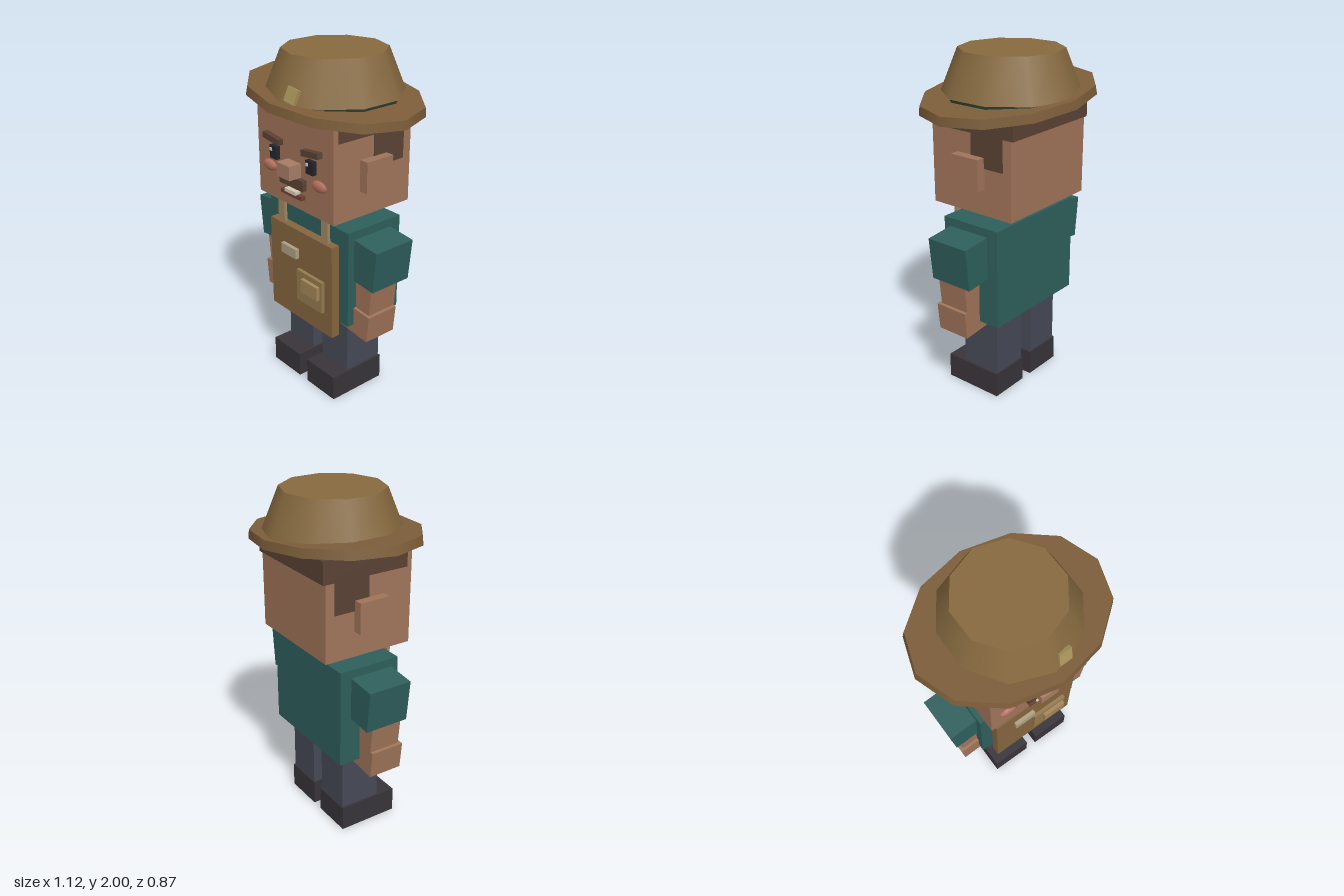
import * as THREE from 'three';

const COLORS = {
  skin: 0xa0745a, nose: 0xa87c66, cheek: 0xb5705f, hair: 0x5a4234, shirt: 0x2e5f5c, trousers: 0x464956,
  shoe: 0x38343a, apron: 0x86653f, strap: 0xa08862, pocket: 0x957a4e, flap: 0xa2875a, label: 0xada083,
  felt: 0x86693f, brim: 0x7d5e3a, band: 0x2a3a30, tag: 0xa8945a, eye: 0x23252c, glint: 0xdddddd,
  lip: 0x6e4036, teeth: 0xd8c8b4,
};
const materials = {};
for (const key in COLORS) materials[key] = new THREE.MeshStandardMaterial({ color: COLORS[key] });

function add(parent, name, geometry, color, x, y, z) {
  const mesh = new THREE.Mesh(geometry, materials[color]);
  mesh.name = name;
  mesh.position.set(x, y, z);
  parent.add(mesh);
  return mesh;
}

// Box given by its limits on each axis
function box(parent, name, color, [x0, x1], [y0, y1], [z0, z1]) {
  return add(parent, name, new THREE.BoxGeometry(x1 - x0, y1 - y0, z1 - z0), color,
    (x0 + x1) / 2, (y0 + y1) / 2, (z0 + z1) / 2);
}

function group(parent, name) {
  const g = new THREE.Group();
  g.name = name;
  parent.add(g);
  return g;
}

export function createModel() {
  const model = new THREE.Group();
  model.name = 'apronFigure';

  // Body
  const body = group(model, 'body');
  box(body, 'torso', 'shirt', [-0.345, 0.345], [0.51, 1.09], [-0.19, 0.19]);
  add(body, 'neck', new THREE.CylinderGeometry(0.12, 0.12, 0.12, 16), 'skin', 0, 1.12, 0);

  // Apron with straps, label and pocket
  const apron = group(model, 'apron');
  box(apron, 'apronPanel', 'apron', [-0.275, 0.275], [0.425, 0.995], [0.195, 0.247]);
  box(apron, 'label', 'label', [-0.15, -0.015], [0.82, 0.88], [0.24, 0.27]);
  box(apron, 'pocket', 'pocket', [-0.012, 0.212], [0.565, 0.76], [0.24, 0.268]);
  box(apron, 'pocketFlap', 'flap', [0.05, 0.195], [0.645, 0.728], [0.26, 0.29]);

  // Head
  const head = group(model, 'head');
  box(head, 'skull', 'skin', [-0.325, 0.325], [1.155, 1.7], [-0.27, 0.276]);
  box(head, 'hairCap', 'hair', [-0.329, 0.329], [1.6, 1.727], [-0.285, 0.245]);
  box(head, 'nose', 'nose', [-0.055, 0.055], [1.345, 1.425], [0.27, 0.355]);
  box(head, 'moustache', 'hair', [-0.102, 0.102], [1.283, 1.343], [0.27, 0.305]);
  box(head, 'mouth', 'lip', [-0.09, 0.09], [1.226, 1.25], [0.27, 0.305]);
  box(head, 'teeth', 'teeth', [-0.05, 0.05], [1.245, 1.265], [0.27, 0.31]);

  // Mirrored parts: s = 1 is the figure's left
  for (const s of [1, -1]) {
    const side = s > 0 ? 'left' : 'right';
    const span = (a, b) => (s > 0 ? [a, b] : [-b, -a]);

    // Legs and straps
    box(body, side + 'Leg', 'trousers', span(0.045, 0.27), [0.13, 0.53], [-0.123, 0.125]);
    box(body, side + 'Shoe', 'shoe', span(0.036, 0.283), [0, 0.15], [-0.128, 0.24]);
    box(apron, side + 'Strap', 'strap', span(0.163, 0.22), [0.95, 1.145], [0.211, 0.23]);

    // Arm, leaning in towards the hand
    const arm = group(model, side + 'Arm');
    const limbs = [
      ['Sleeve', 'shirt', 0.24, 0.247, 0.267, 0.388, 0.912, 0.014],
      ['Forearm', 'skin', 0.2, 0.22, 0.19, 0.361, 0.71, 0.035],
      ['Hand', 'skin', 0.215, 0.162, 0.206, 0.355, 0.536, 0.044],
    ];
    for (const [name, color, w, h, d, x, y, z] of limbs) {
      add(arm, side + name, new THREE.BoxGeometry(w, h, d), color, s * x, y, z).rotation.z = -s * 0.1;
    }

    // Ear, sideburn and face
    box(head, side + 'Ear', 'skin', span(0.32, 0.38), [1.303, 1.48], [-0.09, 0.095]);
    box(head, side + 'Sideburn', 'hair', span(0.3, 0.329), [1.42, 1.61], [-0.215, 0]);
    box(head, side + 'Eye', 'eye', span(0.127, 0.187), [1.4, 1.475], [0.27, 0.302]);
    const gx = s * 0.157 - 0.014;
    box(head, side + 'EyeGlint', 'glint', [gx - 0.008, gx + 0.008], [1.445, 1.461], [0.295, 0.308]);
    add(head, side + 'Brow', new THREE.BoxGeometry(0.14, 0.034, 0.04), 'hair', s * 0.167, 1.515, 0.29)
      .rotation.z = s * 0.12;
    const cheek = add(head, side + 'Cheek', new THREE.SphereGeometry(1, 10, 7), 'cheek', s * 0.215, 1.343, 0.28);
    cheek.scale.set(0.06, 0.032, 0.02);
  }

  // Hat: tilted oval brim, level crown, band and tucked tag
  const hat = group(model, 'hat');
  const brim = add(hat, 'brim', new THREE.CylinderGeometry(0.985, 1, 0.05, 12), 'brim', 0, 1.75, 0);
  brim.scale.set(0.56, 1, 0.437);
  brim.rotation.z = -0.08;
  add(hat, 'band', new THREE.CylinderGeometry(0.372, 0.372, 0.06, 10), 'band', 0, 1.75, -0.01);
  add(hat, 'crown', new THREE.CylinderGeometry(0.29, 0.385, 0.235, 10), 'felt', 0, 1.8825, -0.01);
  const tag = add(hat, 'tag', new THREE.BoxGeometry(0.078, 0.08, 0.022), 'tag', 0.073, 1.812, 0.337);
  tag.rotation.set(-0.32, 0.1, -0.14);

  return model;
}
